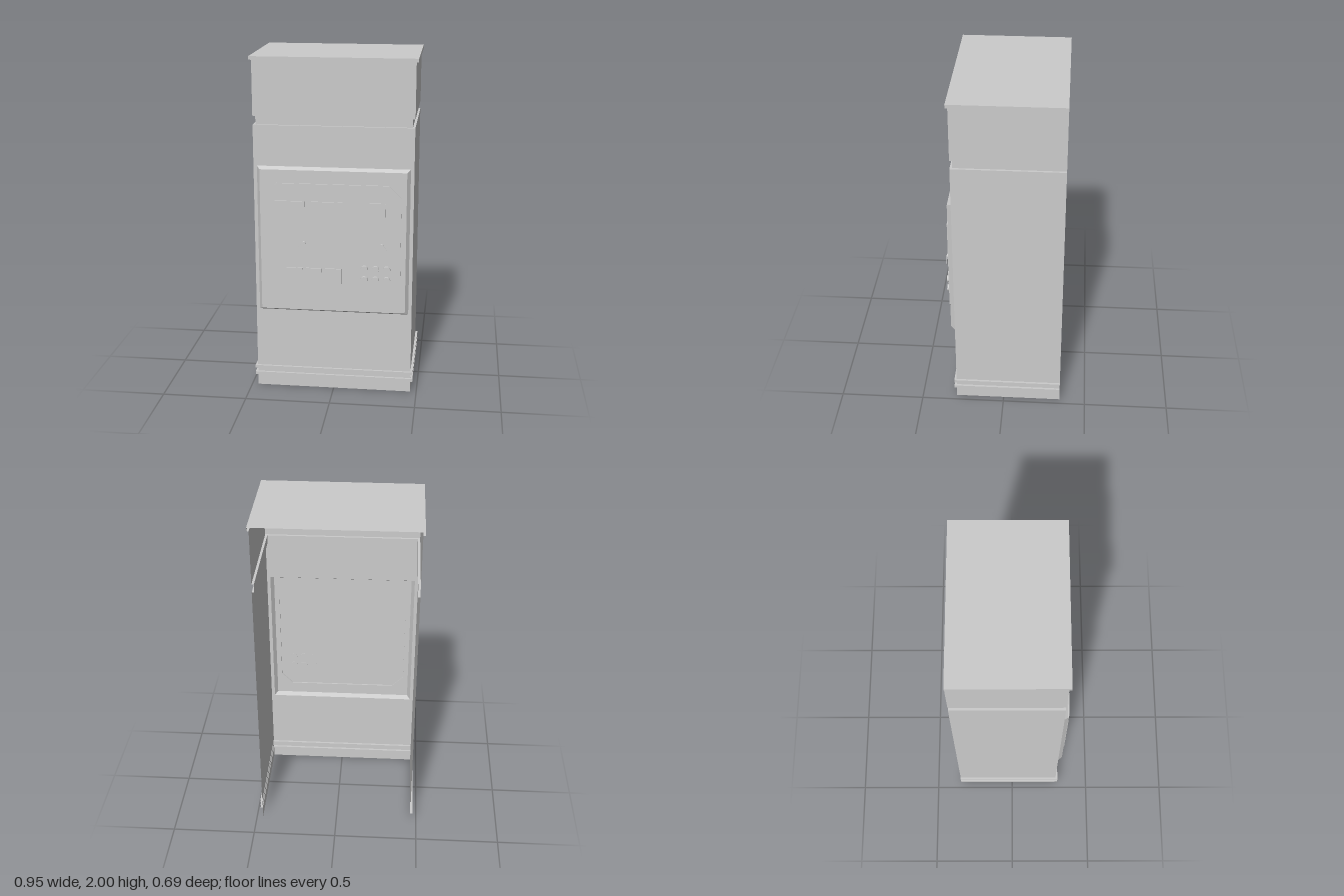
import * as THREE from 'three';

const BACK = -0.345;
const material = new THREE.MeshStandardMaterial({ color: 0xcccccc, side: THREE.DoubleSide, flatShading: true });

function add(parent, name, geometry, x = 0, y = 0, z = 0) {
  const mesh = new THREE.Mesh(geometry, material);
  mesh.name = name;
  mesh.position.set(x, y, z);
  parent.add(mesh);
  return mesh;
}

// Quads joining pairs of point rows; skip(row, column) leaves a quad out
function loft(rows, closed = false, skip = () => false) {
  const pos = [];
  for (let r = 0; r < rows.length - 1; r++) {
    const a = rows[r], b = rows[r + 1], n = a.length;
    for (let i = 0; i < (closed ? n : n - 1); i++) {
      if (skip(r, i)) continue;
      const j = (i + 1) % n;
      for (const p of [a[i], a[j], b[j], a[i], b[j], b[i]]) pos.push(...p);
    }
  }
  const g = new THREE.BufferGeometry();
  g.setAttribute('position', new THREE.Float32BufferAttribute(pos, 3));
  g.computeVertexNormals();
  return g;
}

// Counter-clockwise rectangle, with optional cut corners
function rect(x, y0, y1, cut = 0) {
  if (!cut) return [[-x, y0], [x, y0], [x, y1], [-x, y1]];
  return [[-x + cut, y0], [x - cut, y0], [x, y0 + cut], [x, y1 - cut],
    [x - cut, y1], [-x + cut, y1], [-x, y1 - cut], [-x, y0 + cut]];
}
const at = (loop, z) => loop.map(([x, y]) => [x, y, z]);

function face(outline, hole) {
  const vecs = (loop) => loop.map(([x, y]) => new THREE.Vector2(x, y));
  const shape = new THREE.Shape(vecs(outline));
  if (hole) shape.holes.push(new THREE.Path(vecs(hole)));
  return new THREE.ShapeGeometry(shape);
}

export function createModel() {
  const model = new THREE.Group();
  model.name = 'controlCabinet';

  // Three-sided shell, open at the back and bottom: [outward offset, height]
  const profile = [[0, 0], [0, 0.07], [0.013, 0.07], [0.013, 0.088], [0, 0.088], [0, 0.113],
    [0.013, 0.113], [0.013, 0.13], [0, 0.13], [0, 1.61], [-0.014, 1.61], [-0.014, 1.66],
    [0, 1.66], [0, 1.98], [0.013, 1.98], [0.013, 2]];
  const rows = profile.map(([o, y]) => {
    const x = 0.463 + o, z = 0.29 + o;
    return [[-x, y, BACK], [-x, y, z], [x, y, z], [x, y, BACK]];
  });
  add(model, 'cabinetShell', loft(rows, false, (r, i) => r === 8 && i === 1));

  // Front wall with the panel opening, and the lid
  const bezelRear = rect(0.443, 0.495, 1.372);
  add(model, 'frontWall', face(rect(0.463, 0.13, 1.61), bezelRear), 0, 0, 0.29);
  const lid = new THREE.PlaneGeometry(0.952, 0.303 - BACK).rotateX(-Math.PI / 2);
  add(model, 'lid', lid, 0, 2, (0.303 + BACK) / 2);

  // Hollow raised panel with an embossed cut-corner plate
  const panel = new THREE.Group();
  panel.name = 'controlPanel';
  model.add(panel);
  const bezelFront = rect(0.424, 0.51, 1.357);
  const plate = rect(0.394, 0.58, 1.28, 0.07);
  add(panel, 'bezel', loft([at(bezelRear, 0.29), at(bezelFront, 0.317)], true));
  add(panel, 'panelFace', face(bezelFront, plate), 0, 0, 0.317);
  add(panel, 'plateRim', loft([at(plate, 0.317), at(plate, 0.325)], true));
  add(panel, 'plate', face(plate), 0, 0, 0.325);

  // Display windows and square indicators: x, y, width, height
  const tiles = [[-0.254, 1.132, 0.182, 0.09], [-0.034, 1.132, 0.182, 0.09], [0.254, 1.132, 0.098, 0.09],
    [-0.223, 0.729, 0.095, 0.092], [-0.111, 0.729, 0.095, 0.092], [0.003, 0.729, 0.095, 0.092]];
  tiles.forEach(([x, y, w, h], i) =>
    add(panel, i < 3 ? 'displayWindow' : 'squareIndicator', new THREE.BoxGeometry(w, h, 0.008), x, y, 0.3295));

  // Round push buttons, their rear ends showing inside the cabinet
  for (const x of [0.185, 0.25, 0.315]) for (const y of [0.715, 0.78])
    add(panel, 'pushButton', new THREE.CylinderGeometry(0.022, 0.022, 0.021, 16).rotateX(Math.PI / 2), x, y, 0.3335);

  // Mirrored lever switches: stem at the upper end of a rounded flat lever
  const r = 0.0105, len = 0.044;
  const lever = new THREE.Shape();
  lever.absarc(0, 0, r, 0, Math.PI);
  lever.absarc(0, -len, r, Math.PI, Math.PI * 2);
  for (const [x, tilt] of [[-0.168, -0.65], [0.286, 0.65]]) {
    const handle = new THREE.Group();
    handle.name = 'leverSwitch';
    handle.position.set(x, 0.927, 0.325);
    handle.rotation.z = tilt;
    panel.add(handle);
    add(handle, 'stem', new THREE.CylinderGeometry(r, r, 0.017, 12).rotateX(Math.PI / 2), 0, 0, 0.0085);
    add(handle, 'lever', new THREE.ExtrudeGeometry(lever, { depth: 0.004, bevelEnabled: false, curveSegments: 6 }), 0, 0, 0.016);
  }
  return model;
}
